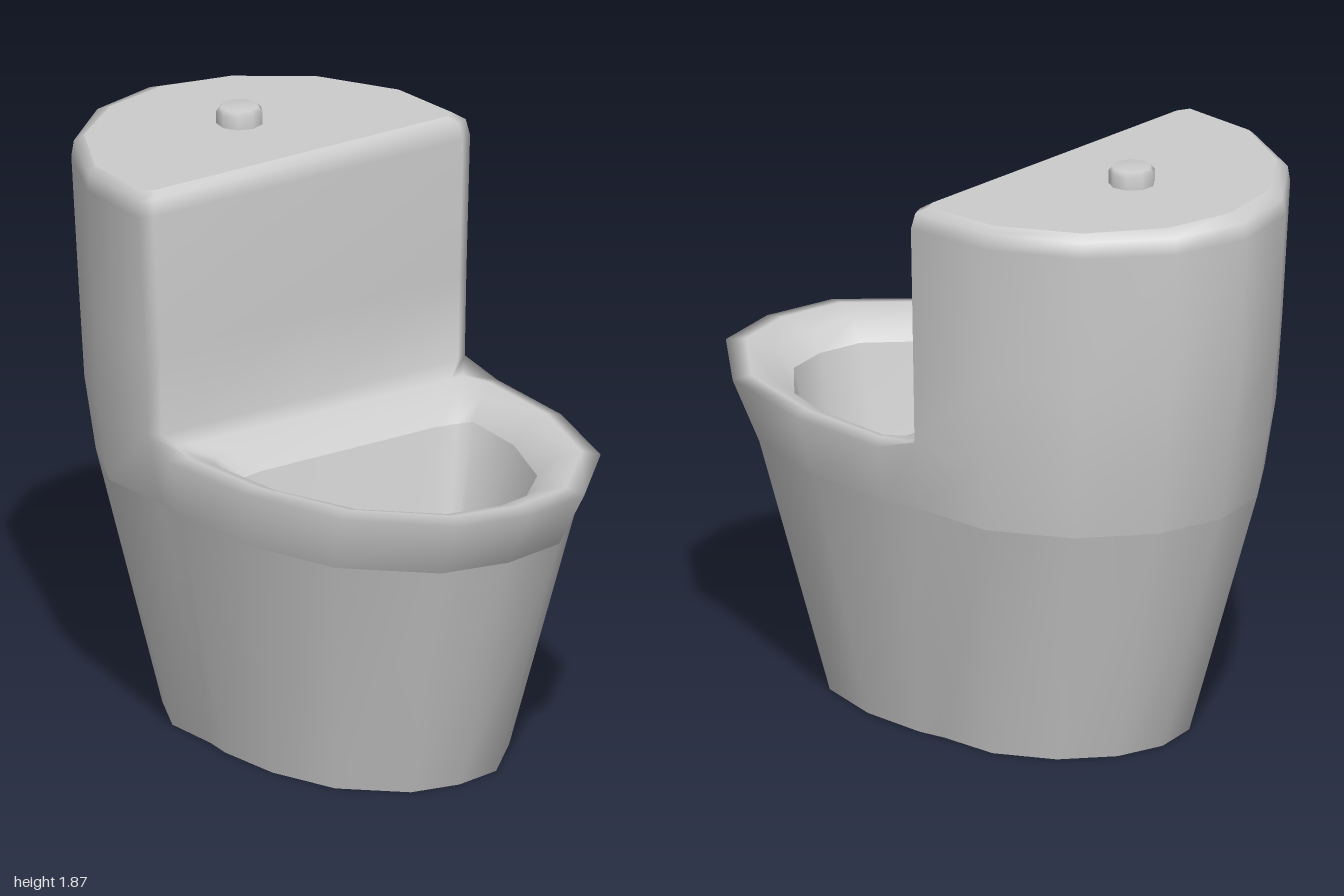
import * as THREE from 'three';
import { mergeGeometries, mergeVertices } from 'three/addons/utils/BufferGeometryUtils.js';

// Full loop of [x, y, z] from half an outline of [x, z, y?], front centre to back centre (or reverse)
function loop(half, y, sx = 1, szFront = 1, szBack = szFront) {
  const pts = half.map(([x, z, py]) => [x * sx, py ?? y, z * (z > 0 ? szFront : szBack)]);
  const mirrored = pts.slice(1, -1).reverse().map(([x, py, z]) => [-x, py, z]);
  return [...pts, ...mirrored];
}

// Skin through successive loops of equal length
function loft(loops) {
  const n = loops[0].length, index = [];
  for (let r = 0; r < loops.length - 1; r++) {
    for (let i = 0; i < n; i++) {
      const j = (i + 1) % n, a = r * n, b = a + n;
      index.push(a + i, a + j, b + j, a + i, b + j, b + i);
    }
  }
  const g = new THREE.BufferGeometry();
  g.setAttribute('position', new THREE.Float32BufferAttribute(loops.flat(2), 3));
  g.setIndex(index);
  g.computeVertexNormals();
  return g;
}

// Flat cap facing up over one loop
function cap(ring) {
  const zs = ring.map((p) => p[2]);
  const centre = [0, ring[0][1], (Math.min(...zs) + Math.max(...zs)) / 2];
  const g = new THREE.BufferGeometry();
  g.setAttribute('position', new THREE.Float32BufferAttribute([...ring, centre].flat(), 3));
  g.setIndex(ring.flatMap((_, i) => [i, (i + 1) % ring.length, ring.length]));
  g.computeVertexNormals();
  return g;
}

export function createModel() {
  const group = new THREE.Group();
  const ceramic = new THREE.MeshStandardMaterial({ color: 0xcccccc, side: THREE.DoubleSide });
  ceramic.name = 'ceramic';
  const add = (name, geometry) => {
    const mesh = new THREE.Mesh(geometry, ceramic);
    mesh.name = name;
    group.add(mesh);
    return mesh;
  };

  // Plan outline, half, front to back
  const outline = [[0, 1], [0.24, 0.95], [0.49, 0.69], [0.6, 0.33], [0.62, -0.03],
    [0.6, -0.17], [0.6, -0.48], [0.46, -0.76], [0.24, -0.94], [0, -1]];

  // Tapered pedestal, open underneath
  const waist = loop(outline, 0.8, 0.93, 0.885, 0.89);
  add('pedestal', loft([loop(outline, 0, 0.67, 0.63, 0.65), waist]));

  // Flare from the waist up to the seat rim and the tank foot
  const tankFoot = outline.slice(6).map(([x, z]) => [x * 0.975, z * 0.93, 1.03]);
  const front = outline.slice(0, 5).map(([x, z]) => [x, z, 0.988]);
  const corner = [0.6, -0.17, 1.03];
  const flare = loft([waist, loop([...front, corner, ...tankFoot])]);

  // Rounded rim and deck, running inward to the bowl opening
  const rimOuter = [...front, corner, [0.56, -0.15, 1.03], [0, -0.15, 1.03]];
  const opening = [[0, 0.78], [0.15, 0.75], [0.33, 0.58], [0.43, 0.32], [0.45, 0.08],
    [0.4, 0.065], [0.33, 0.05], [0, 0.05]].map(([x, z]) => [x, z, 0.92]);
  const between = (t, y) => rimOuter.map(([x, z], i) => [
    x + (opening[i][0] - x) * t, z + (opening[i][1] - z) * t, y]);
  const rim = loft([loop(rimOuter), loop(between(0.3, 1.0)), loop(between(0.7, 0.975)), loop(opening)]);

  // Tank with a flat front, curved back and rounded top edge
  const tankHalf = [[0, -0.15], [0.56, -0.15], [0.6, -0.17], ...tankFoot.map(([x, z]) => [x, z])];
  const tankLevels = [[1.03, 1, 1], [1.3, 1.01, 1.042], [1.74, 1.045, 1.074], [1.79, 1.03, 1.06], [1.81, 0.98, 1.0]];
  const tankLoops = tankLevels.map(([y, sx, sz], k) => loop(tankHalf.map(([x, z]) => {
    const t = (-z - 0.15) / 0.78;
    const frontInset = [0, 0, 0.01, 0.02, 0.05][k];
    return [x, z * (1 + (sz - 1) * t) - frontInset * (1 - t)];
  }), y, sx));
  const tank = loft(tankLoops);

  // Flare, rim and tank are welded into one smooth skin
  add('upperBody', (() => {
    const g = mergeGeometries([flare, rim, tank]);
    g.deleteAttribute('normal');
    const welded = mergeVertices(g, 1e-4);
    welded.computeVertexNormals();
    return welded;
  })());
  add('tankTop', cap(tankLoops[tankLoops.length - 1]));

  // Bowl interior and its floor
  const floor = loop([[0, 0.65], [0.13, 0.62], [0.2, 0.54], [0.27, 0.36], [0.29, 0.21],
    [0.25, 0.21], [0.2, 0.21], [0, 0.21]], 0.39);
  add('bowlWall', loft([loop(opening), floor]));
  add('bowlFloor', cap(floor));

  // Flush button
  const button = new THREE.LatheGeometry(
    [[0.072, 0], [0.072, 0.045], [0.06, 0.06], [0, 0.06]].map(([x, y]) => new THREE.Vector2(x, y)), 9);
  add('flushButton', button).position.set(0.01, 1.805, -0.53);

  return group;
}
